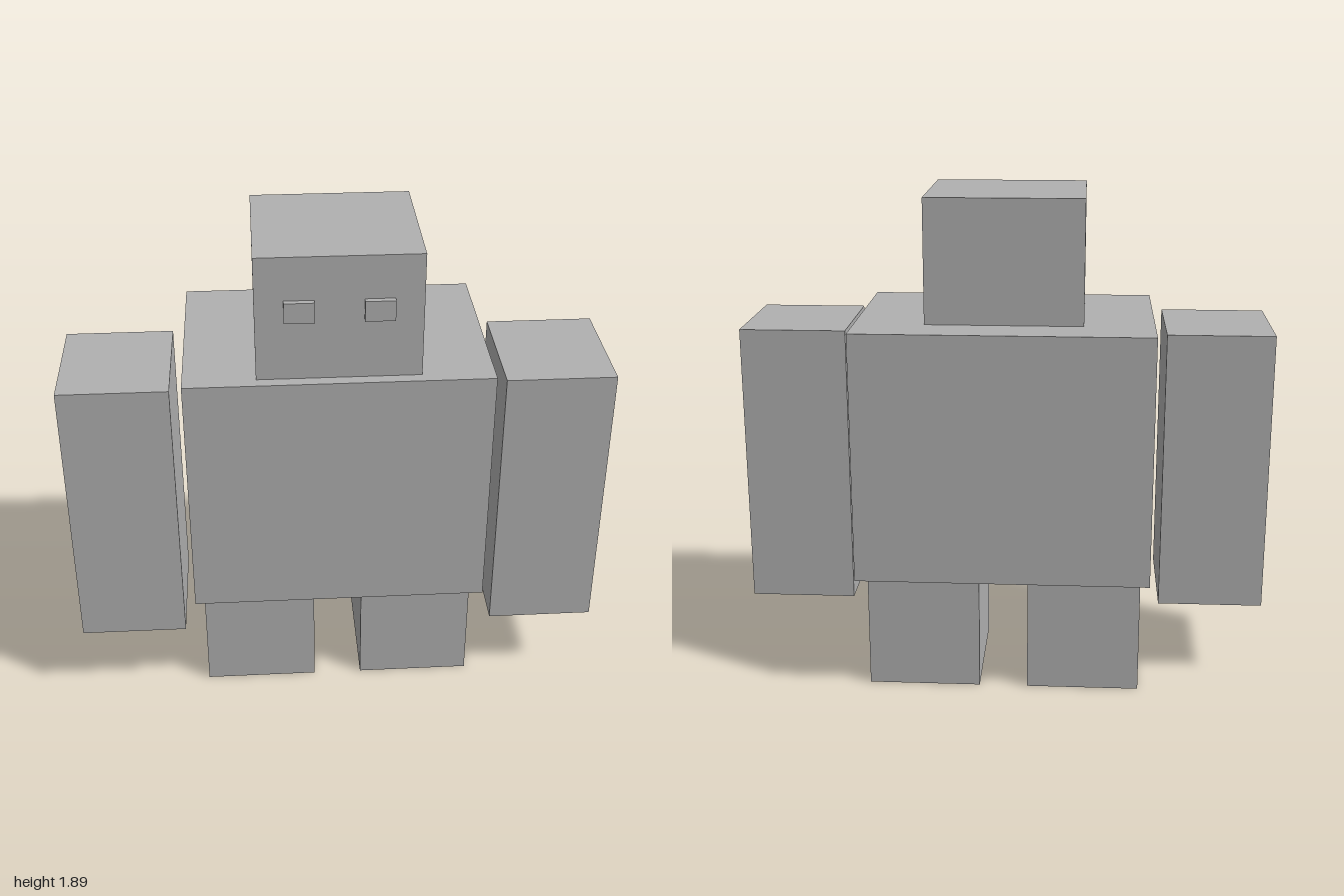
import * as THREE from 'three';

export function createModel() {
  const model = new THREE.Group();
  model.name = 'blockFigure';
  const grey = new THREE.MeshStandardMaterial({ color: 0xb0b0b0 });
  grey.name = 'grey';

  // Box given by its low and high limits on each axis
  function block(name, [x0, x1], [y0, y1], [z0, z1]) {
    const mesh = new THREE.Mesh(new THREE.BoxGeometry(x1 - x0, y1 - y0, z1 - z0), grey);
    mesh.position.set((x0 + x1) / 2, (y0 + y1) / 2, (z0 + z1) / 2);
    mesh.name = name;
    model.add(mesh);
  }

  // Mirrored pair; inner and outer are distances from the centre plane
  function pair(name, [inner, outer], y, z) {
    block('left' + name, [inner, outer], y, z);
    block('right' + name, [-outer, -inner], y, z);
  }

  // Torso and head
  block('torso', [-0.553, 0.553], [0.48, 1.43], [-0.383, 0.383]);
  block('head', [-0.293, 0.293], [1.43, 1.893], [-0.215, 0.338]);

  // Limbs
  pair('Arm', [0.6, 1], [0.31, 1.385], [-0.138, 0.323]);
  pair('Leg', [0.093, 0.523], [0, 0.48], [-0.26, 0.26]);

  // Raised eyes on the face
  pair('Eye', [0.086, 0.192], [1.656, 1.732], [0.338, 0.36]);

  return model;
}
